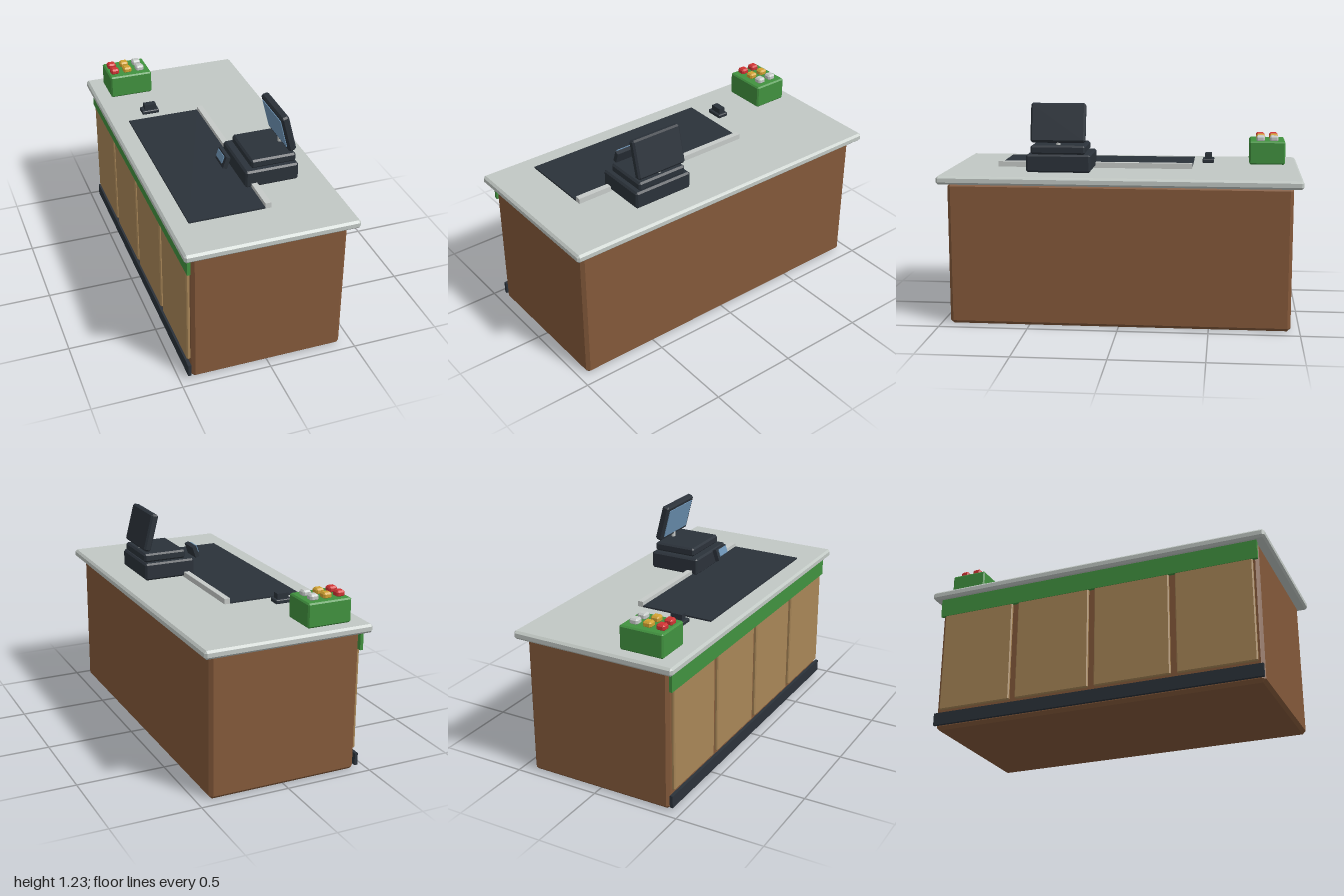
import * as THREE from 'three';
import { ConvexGeometry } from 'three/addons/geometries/ConvexGeometry.js';

const mat = (name, color) => {
  const m = new THREE.MeshStandardMaterial({ color });
  m.name = name;
  return m;
};

// Box with every edge chamfered by b
function chamferBox(w, h, d, b) {
  const pts = [];
  for (const x of [-1, 1]) for (const y of [-1, 1]) for (const z of [-1, 1]) {
    const X = x * w / 2, Y = y * h / 2, Z = z * d / 2;
    pts.push(
      new THREE.Vector3(X, Y - y * b, Z - z * b),
      new THREE.Vector3(X - x * b, Y, Z - z * b),
      new THREE.Vector3(X - x * b, Y - y * b, Z));
  }
  return new ConvexGeometry(pts);
}

export function createModel() {
  const root = new THREE.Group();
  root.name = 'checkoutCounter';

  const wood = mat('brown wood', 0x84593a);
  const panelTan = mat('tan panel', 0xa88657);
  const stone = mat('pale grey top', 0xc1c8c4);
  const green = mat('green', 0x41923f);
  const dark = mat('dark slate', 0x2b323a);
  const metal = mat('light metal', 0xc6cac8);
  const glass = mat('blue screen', 0x6f96b8);
  const red = mat('red', 0xd03434);
  const yellow = mat('yellow', 0xd2a232);

  // Box given by its min and max on each axis; bevel 0 gives a plain box
  function block(name, material, [x0, x1], [y0, y1], [z0, z1], bevel = 0, parent = root) {
    const w = x1 - x0, h = y1 - y0, d = z1 - z0;
    const geo = bevel ? chamferBox(w, h, d, bevel) : new THREE.BoxGeometry(w, h, d);
    const mesh = new THREE.Mesh(geo, material);
    mesh.name = name;
    mesh.position.set((x0 + x1) / 2, (y0 + y1) / 2, (z0 + z1) / 2);
    parent.add(mesh);
    return mesh;
  }

  // Counter body and top
  block('counterBody', wood, [-0.43, 0.43], [0, 0.8], [-0.95, 0.95], 0.018);
  block('counterTop', stone, [-0.48, 0.48], [0.798, 0.845], [-1, 1], 0.012);

  // Customer side: trim strip, four panels, kick plate
  block('trimStrip', green, [-0.453, -0.435], [0.69, 0.8], [-0.95, 0.95]);
  block('kickPlate', dark, [-0.453, -0.435], [0.02, 0.09], [-0.95, 0.95]);
  for (let i = 0; i < 4; i++) {
    const z = (i - 1.5) * 0.47;
    block('sidePanel', panelTan, [-0.45, -0.429], [0.11, 0.705], [z - 0.217, z + 0.217], 0.006);
  }

  // Conveyor belt and its guide rail
  block('conveyorBelt', dark, [-0.37, 0.052], [0.843, 0.854], [-0.39, 0.73]);
  block('guideRail', metal, [0.052, 0.085], [0.843, 0.876], [-0.39, 0.73]);

  // Cash register
  block('registerBase', dark, [0.02, 0.325], [0.85, 0.95], [0.165, 0.525], 0.01);
  block('registerTop', dark, [0.06, 0.318], [0.95, 1.0], [0.195, 0.5], 0.01);
  const post = new THREE.Mesh(new THREE.CylinderGeometry(0.012, 0.012, 0.06, 12), metal);
  post.name = 'monitorPost';
  post.position.set(0.283, 1.02, 0.347);
  root.add(post);

  // Tilted monitor facing the belt
  const monitor = new THREE.Group();
  monitor.name = 'monitor';
  monitor.position.set(0.273, 1.122, 0.347);
  monitor.rotation.z = 0.25;
  root.add(monitor);
  block('monitorCase', dark, [-0.022, 0.022], [-0.11, 0.11], [-0.153, 0.153], 0.01, monitor);
  block('monitorScreen', glass, [-0.026, -0.021], [-0.085, 0.085], [-0.13, 0.13], 0, monitor);

  // Small price display facing the customer
  const display = new THREE.Group();
  display.name = 'priceDisplay';
  display.position.set(-0.044, 0.951, 0.34);
  display.rotation.z = -0.32;
  root.add(display);
  block('displayCase', dark, [-0.0125, 0.0125], [-0.034, 0.034], [-0.06, 0.06], 0, display);
  block('displayScreen', glass, [-0.022, -0.018], [-0.012, 0.03], [-0.045, 0.045], 0, display);

  // Card reader
  block('readerBase', dark, [-0.27, -0.168], [0.845, 0.868], [-0.51, -0.443], 0.004);
  block('readerHead', dark, [-0.252, -0.183], [0.868, 0.9], [-0.496, -0.457]);

  // Snack box with two rows of three packets
  block('snackBox', green, [-0.388, -0.132], [0.845, 0.98], [-0.925, -0.717], 0.008);
  [red, yellow, metal].forEach((m, i) => {
    const x = -0.347 + i * 0.078;
    for (const z of [-0.86, -0.782]) {
      block('packet', m, [x - 0.025, x + 0.025], [0.975, 1.01], [z - 0.025, z + 0.025], 0.009);
    }
  });

  return root;
}
